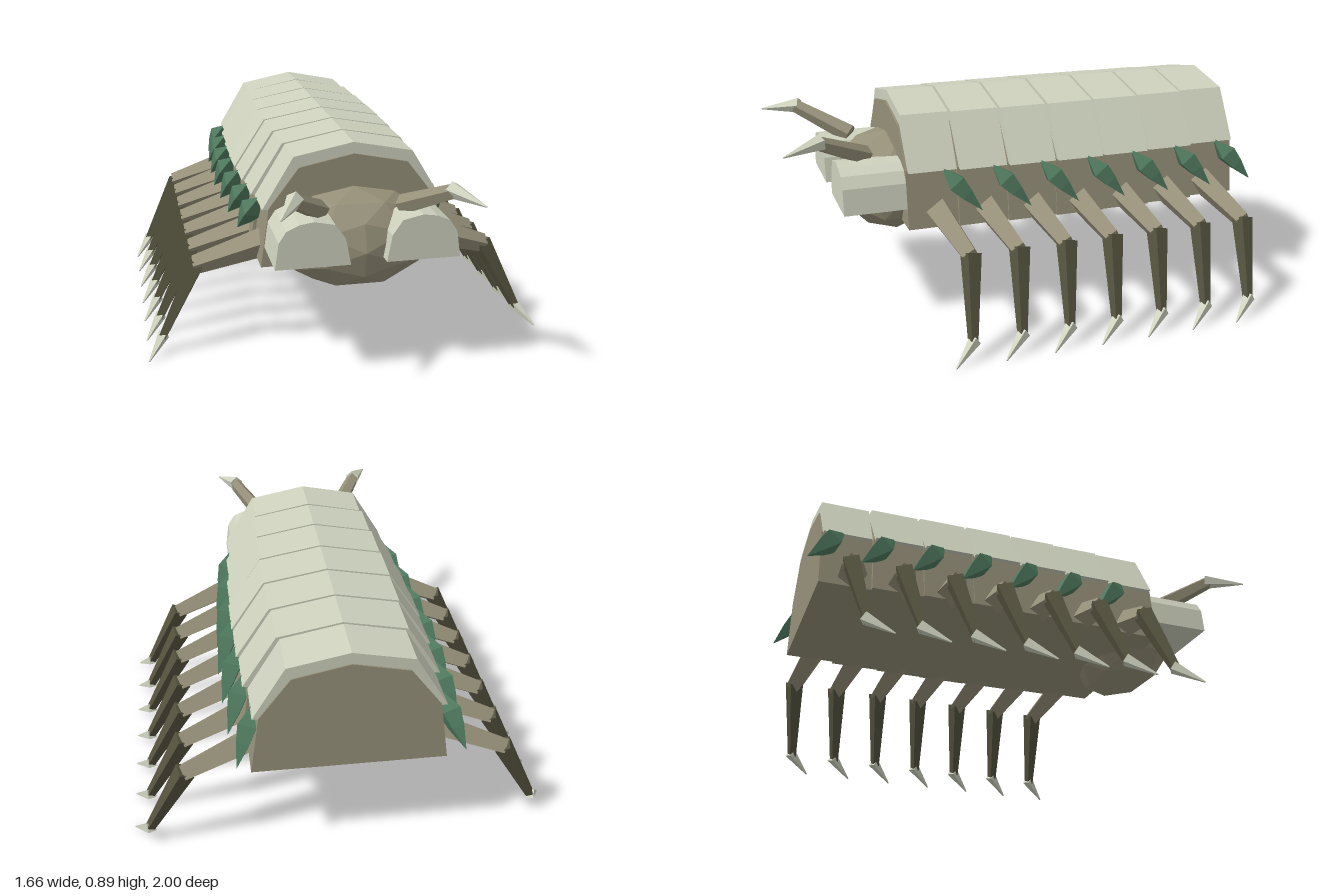
import * as THREE from 'three';

const mat = (name, color) => {
  const m = new THREE.MeshStandardMaterial({ color, flatShading: true });
  m.name = name;
  return m;
};

export function createModel() {
  const root = new THREE.Group();
  root.name = 'armouredCrawler';
  const shell = mat('pale shell', 0xcdd1bd);
  const hide = mat('olive hide', 0x969079);
  const shin = mat('dark shin', 0x55533f);
  const green = mat('green spike', 0x4f7a5f);

  const add = (parent, name, geo, material) => {
    const mesh = new THREE.Mesh(geo, material);
    mesh.name = name;
    parent.add(mesh);
    return mesh;
  };
  const V = (p) => new THREE.Vector3(...p);
  const UP = new THREE.Vector3(0, 1, 0);

  // Moves a geometry built along y from 0 to 1 onto the line a-b
  const along = (geo, a, b) => {
    const d = V(b).sub(V(a));
    geo.scale(1, d.length(), 1);
    geo.applyQuaternion(new THREE.Quaternion().setFromUnitVectors(UP, d.normalize()));
    return geo.translate(...a);
  };
  const limb = (a, b, ra, rb, sides = 4) =>
    along(new THREE.CylinderGeometry(rb, ra, 1, sides).translate(0, 0.5, 0), a, b);
  const spindle = (a, b, r) => along(new THREE.LatheGeometry(
    [[0, 0], [r, 0.36], [r * 0.7, 0.62], [0, 1]].map((p) => new THREE.Vector2(...p)), 4), a, b);

  // Extrudes an x-y outline from z0 to z1
  const slab = (pts, z0, z1) => new THREE.ExtrudeGeometry(
    new THREE.Shape(pts.map((p) => new THREE.Vector2(...p))),
    { depth: z1 - z0, bevelEnabled: false }).translate(0, 0, z0);
  const mirrorPts = (pts) => [...pts, ...pts.filter((p) => p[0] > 0).reverse().map(([x, y]) => [-x, y])];

  // Seven body rings, each with a roof plate
  const widths = [0.375, 0.39, 0.4, 0.405, 0.4, 0.39, 0.37];
  widths.forEach((w, i) => {
    const front = 0.525 - i * 0.209;
    const s = w / 0.385;
    const sx = (pts) => pts.map(([x, y]) => [x * s, y]);
    add(root, 'bodyRing', slab(mirrorPts(sx(
      [[0, 0.4], [0.385, 0.4], [0.35, 0.64], [0.225, 0.8], [0, 0.845]])), front - 0.212, front), hide);
    const outer = sx([[0, 0.89], [0.245, 0.843], [0.375, 0.635]]);
    const inner = sx([[0, 0.842], [0.222, 0.797], [0.34, 0.635]]);
    const arch = [
      ...outer.slice(1).reverse(), outer[0], ...outer.slice(1).map(([x, y]) => [-x, y]),
      ...inner.slice(1).reverse().map(([x, y]) => [-x, y]), inner[0], ...inner.slice(1),
    ];
    add(root, 'backPlate', slab(arch, front - 0.206, front - 0.008), shell);
  });

  // Head
  const head = add(root, 'head', new THREE.IcosahedronGeometry(1, 1), hide);
  head.geometry.scale(0.315, 0.205, 0.215).translate(0, 0.51, 0.53);

  for (const side of [1, -1]) {
    const P = (x, y, z) => [side * x, y, z];

    // Domed cheek guard
    const cheek = [[0.07, 0.485], [0.36, 0.485], [0.345, 0.59], [0.315, 0.635],
      [0.265, 0.657], [0.21, 0.665], [0.13, 0.648], [0.09, 0.59]];
    const pts = cheek.map(([x, y]) => [side * x, y]);
    add(root, 'cheekGuard', slab(pts, 0.525, 0.78), shell);

    // Feeler with a pale tip
    add(root, 'feelerBase', limb(P(0.165, 0.665, 0.65), P(0.3, 0.775, 0.86), 0.042, 0.03, 5), hide);
    add(root, 'feelerTip', limb(P(0.293, 0.778, 0.845), P(0.372, 0.755, 1), 0.034, 0.003, 5), shell);

    widths.forEach((w, i) => {
      // Side spike
      const zs = -0.205 * i;
      add(root, 'sideSpike', spindle(P(w - 0.02, 0.645, 0.38 + zs), P(w + 0.055, 0.47, 0.23 + zs), 0.05), green);

      // Three-part leg
      const z = -0.2 * i;
      const leg = new THREE.Group();
      leg.name = 'leg';
      root.add(leg);
      const knee = P(0.622, 0.36, 0.34 + z);
      const ankle = P(0.77, 0.065, 0.38 + z);
      add(leg, 'thigh', limb(P(0.34, 0.46, 0.395 + z), knee, 0.06, 0.04), hide);
      add(leg, 'shin', limb(P(0.612, 0.37, 0.338 + z), ankle, 0.043, 0.02), shin);
      add(leg, 'claw', limb(P(0.762, 0.077, 0.37 + z), P(0.83, 0.004, 0.465 + z), 0.026, 0.003), shell);
    });
  }
  return root;
}
